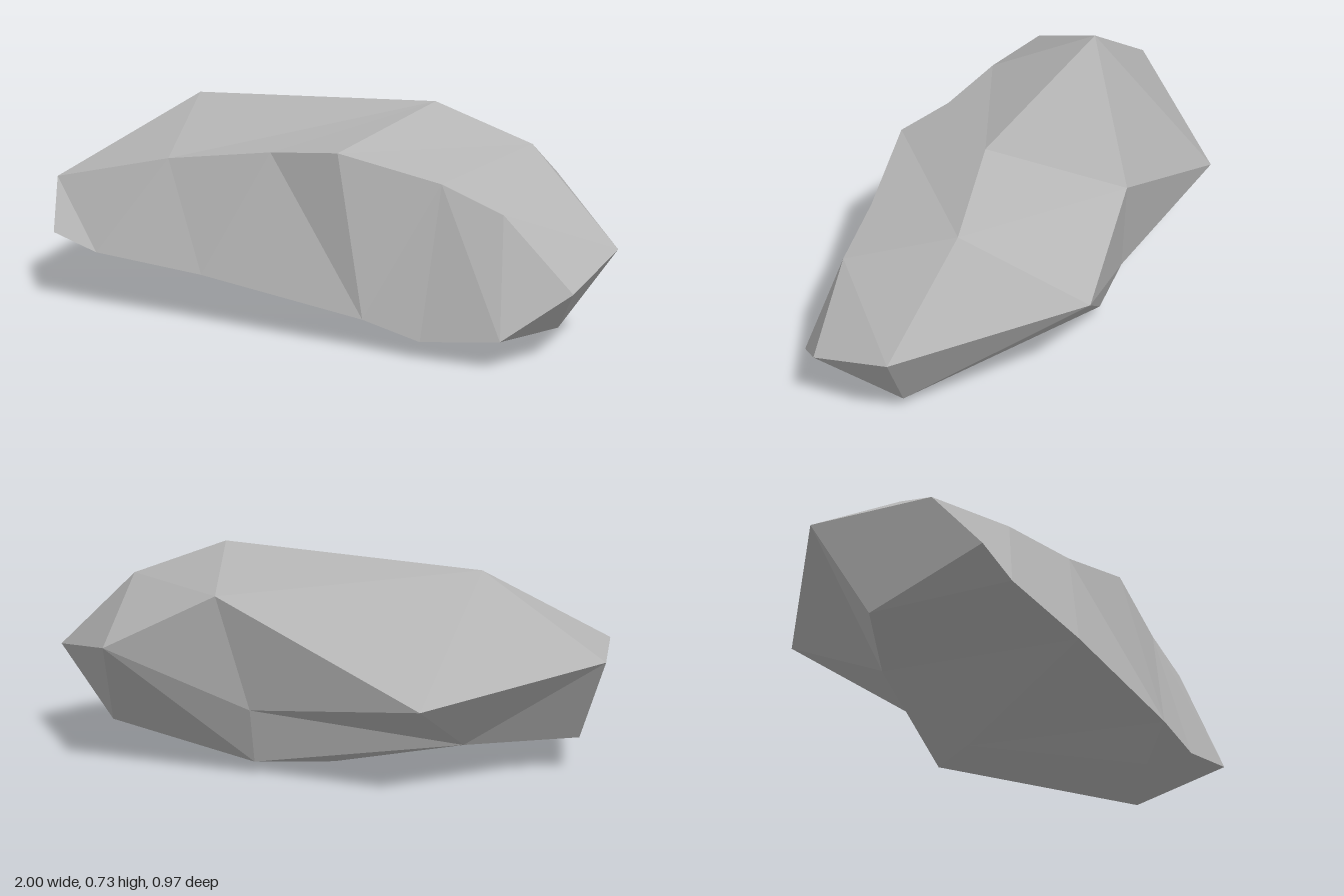
import * as THREE from 'three';

// Corner points of the boulder, in rows running from -x to +x
const P = {
  // top ridge
  T0: [-1, 0.4, -0.05], T1: [-0.575, 0.675, -0.01], T2: [0.34, 0.73, 0.02], T3: [0.665, 0.61, -0.025], T4: [1, 0.32, 0.07],
  // upper front edge
  F0: [-0.94, 0.41, 0.35], F1: [-0.49, 0.52, 0.35], F2: [-0.1, 0.58, 0.35], F3: [0.17, 0.615, 0.4],
  F4: [0.51, 0.54, 0.35], F5: [0.72, 0.465, 0.35], F6: [0.955, 0.24, 0.35],
  // lower front edge
  L0: [-0.87, 0.25, 0.485], L1: [-0.7, 0.2, 0.485], L2: [-0.29, 0.175, 0.485],
  L3: [0.3, 0.105, 0.485], L4: [0.5, 0.06, 0.485], L5: [0.77, 0.1, 0.485],
  // underside
  M0: [-0.89, 0.11, 0.1], M1: [-0.54, 0.1, -0.09], M2: [-0.08, 0, -0.06],
  M3: [0.12, 0.04, -0.3], M4: [0.82, 0.045, 0.11], N: [0.47, 0.04, 0.33],
  // back corners and the hollow below them
  B0: [-0.5, 0.29, -0.485], B1: [0.21, 0.61, -0.415], B2: [0.6, 0.42, -0.44], C: [0.11, 0.23, -0.37],
};

// Each fan: a hub followed by the points around it
const FANS = [
  // top, sloping to the front
  'T1 T0 F0 F1 T2', 'T2 F1 F2 F3 T3', 'T3 F3 F4 F5 T4', 'T4 F5 F6',
  // front face
  'F0 L0 L1 F1', 'F1 L1 L2 F2', 'F2 L2 L3 F3', 'L3 F3 F4', 'F4 L3 L4 L5 F5', 'L5 F5 F6',
  // ends and underside
  'M0 T0 F0 L0 L1 M1', 'M1 M0 T0 B0 C M3 M2 L2 L1', 'M2 L2 L3 N M4 M3', 'N L3 L4 L5 M4', 'M4 L5 F6 T4 B2 M3',
  // back
  'C B0 B1 B2 M3', 'T3 T2 B1 B2 T4', 'B1 B0 T1 T2', 'T1 T0 B0',
];

function boulderGeometry() {
  const centre = new THREE.Vector3(0, 0.32, 0.05);
  const points = [];
  for (const fan of FANS) {
    const [hub, ...rim] = fan.split(' ').map((n) => new THREE.Vector3(...P[n]));
    for (let i = 0; i + 1 < rim.length; i++) {
      const tri = new THREE.Triangle(hub, rim[i], rim[i + 1]);
      const outward = tri.getMidpoint(new THREE.Vector3()).sub(centre);
      const faces = tri.getNormal(new THREE.Vector3()).dot(outward) > 0;
      points.push(hub, ...(faces ? [rim[i], rim[i + 1]] : [rim[i + 1], rim[i]]));
    }
  }
  const geometry = new THREE.BufferGeometry().setFromPoints(points);
  geometry.computeVertexNormals(); // unshared corners give flat facets
  return geometry;
}

export function createModel() {
  const stone = new THREE.MeshStandardMaterial({ color: 0xb4b4b4, flatShading: true });
  stone.name = 'stone grey';
  const boulder = new THREE.Mesh(boulderGeometry(), stone);
  boulder.name = 'boulder';
  const group = new THREE.Group();
  group.name = 'rock';
  group.add(boulder);
  return group;
}
